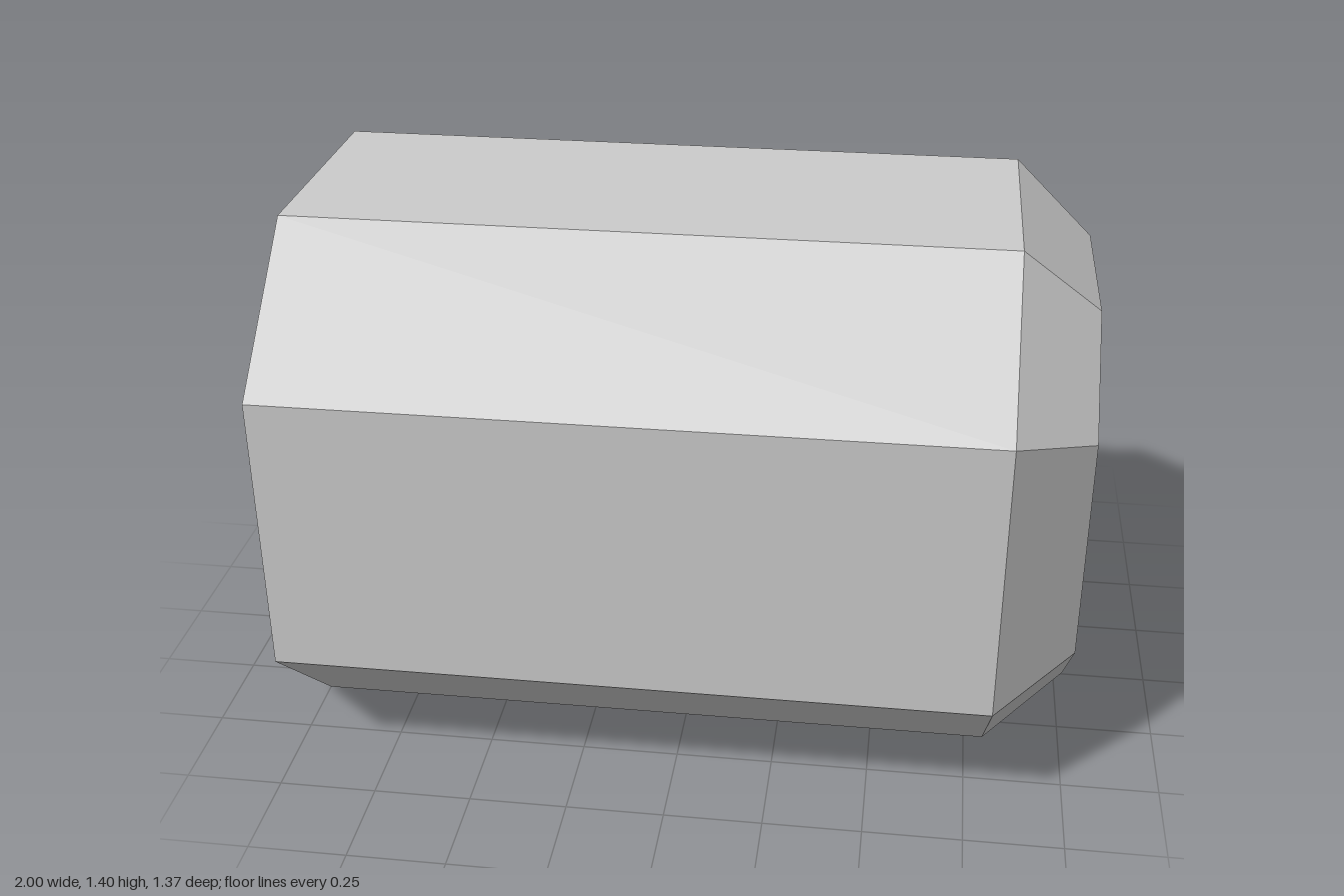
import * as THREE from 'three';

const CENTER_Y = 0.7;
const material = new THREE.MeshStandardMaterial({ color: 0xcccccc, flatShading: true });

// Octagon across the x axis: half width w, half height h, and the
// half lengths of its flat edges (top/bottom: tw, sides: sh).
function octagon(x, w, h, tw, sh) {
  return [
    [-w, -sh], [-w, sh], [-tw, h], [tw, h],
    [w, sh], [w, -sh], [tw, -h], [-tw, -h],
  ].map(([z, y]) => [x, y, z]);
}

// Joins successive sections along x and closes both ends with fans.
function loft(sections) {
  const pos = [];
  const n = sections[0].length;
  for (let s = 0; s < sections.length - 1; s++) {
    const p = sections[s], q = sections[s + 1];
    for (let k = 0; k < n; k++) {
      const m = (k + 1) % n;
      pos.push(...p[k], ...p[m], ...q[m], ...p[k], ...q[m], ...q[k]);
    }
  }
  const first = sections[0], last = sections[sections.length - 1];
  for (let k = 1; k < n - 1; k++) {
    pos.push(...first[0], ...first[k + 1], ...first[k]);
    pos.push(...last[0], ...last[k], ...last[k + 1]);
  }
  const geometry = new THREE.BufferGeometry();
  geometry.setAttribute('position', new THREE.Float32BufferAttribute(pos, 3));
  geometry.computeVertexNormals();
  return geometry;
}

export function createModel() {
  const model = new THREE.Group();
  model.name = 'octagonalHousing';

  // Housing: straight barrel, chamfered nose, rim and recessed floor
  const housing = new THREE.Mesh(loft([
    octagon(-1, 0.685, 0.7, 0.322, 0.365),
    octagon(0.8, 0.685, 0.7, 0.322, 0.365),
    octagon(1, 0.495, 0.525, 0.246, 0.292),
    octagon(1, 0.395, 0.425, 0.21, 0.253),
    octagon(0.8, 0.395, 0.425, 0.21, 0.253),
  ]), material);
  housing.name = 'housing';
  housing.position.y = CENTER_Y;
  model.add(housing);

  // Ten-sided ring with a rounded shoulder, flat lip and dished centre
  const profile = [
    [0.41, 0.79], [0.4, 0.85], [0.35, 0.9], [0.28, 0.9], [0.2, 0.805], [0, 0.805],
  ].map(([r, x]) => new THREE.Vector2(r, x));
  const ringGeometry = new THREE.LatheGeometry(profile, 10).rotateZ(-Math.PI / 2);
  const ring = new THREE.Mesh(ringGeometry, material);
  ring.name = 'dishedRing';
  ring.position.y = CENTER_Y;
  model.add(ring);

  return model;
}
